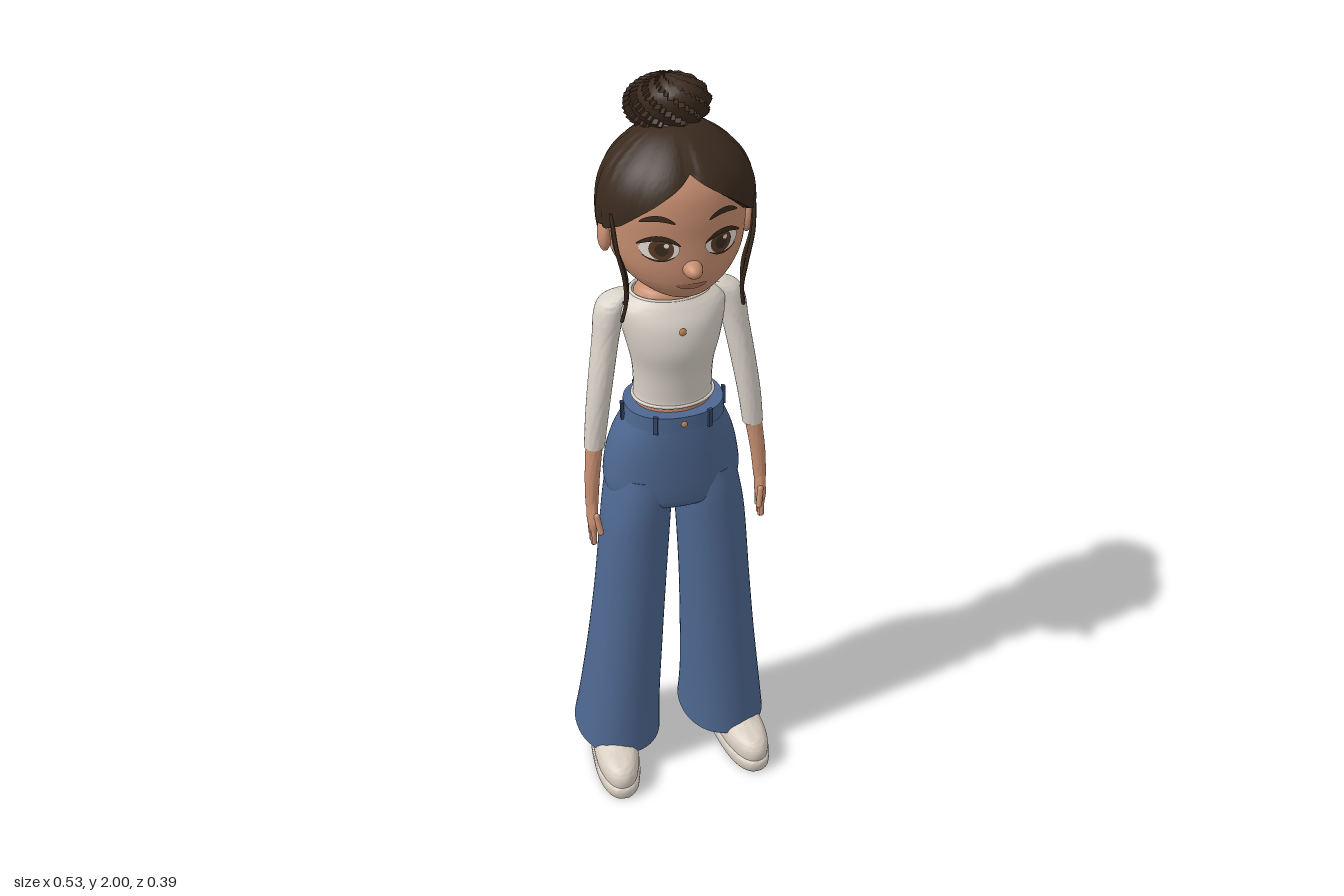
import * as THREE from 'three';
import { toCreasedNormals } from 'three/addons/utils/BufferGeometryUtils.js';

const mat = (name, color, side = THREE.FrontSide) => {
  const m = new THREE.MeshStandardMaterial({ color, side });
  m.name = name;
  return m;
};

// Smooth a table of rows by Catmull-Rom interpolation, n steps per row
function refine(rows, n = 5) {
  const out = [];
  for (let i = 0; i < rows.length - 1; i++) {
    const [p, q, r, s] = [rows[Math.max(i - 1, 0)], rows[i], rows[i + 1], rows[Math.min(i + 2, rows.length - 1)]];
    for (let k = 0; k < n; k++) {
      const t = k / n;
      out.push(q.map((v, c) => v + 0.5 * t * (r[c] - p[c] + t * (2 * p[c] - 5 * v + 4 * r[c] - s[c] + t * (3 * (v - r[c]) + s[c] - p[c])))));
    }
  }
  out.push(rows[rows.length - 1]);
  return out;
}

// Closed rings running upwards: point(i, angle) gives each corner
function ringSurface(count, segs, point, caps = [false, false], crease = 0.8) {
  const pos = [], idx = [];
  for (let i = 0; i < count; i++) for (let j = 0; j < segs; j++) pos.push(...point(i, (j / segs) * Math.PI * 2));
  for (let i = 0; i < count - 1; i++) for (let j = 0; j < segs; j++) {
    const a = i * segs + j, b = i * segs + ((j + 1) % segs);
    idx.push(a, b, b + segs, a, b + segs, a + segs);
  }
  caps.forEach((on, end) => {
    if (!on) return;
    const base = end ? (count - 1) * segs : 0, c = pos.length / 3, mid = [0, 0, 0];
    for (let j = 0; j < segs; j++) for (let k = 0; k < 3; k++) mid[k] += pos[(base + j) * 3 + k] / segs;
    pos.push(...mid);
    for (let j = 0; j < segs; j++) {
      const a = base + j, b = base + ((j + 1) % segs);
      idx.push(...(end ? [c, a, b] : [c, b, a]));
    }
  });
  const g = new THREE.BufferGeometry();
  g.setAttribute('position', new THREE.Float32BufferAttribute(pos, 3));
  g.setIndex(idx);
  return toCreasedNormals(g, crease);
}

// Rows are [y, centre x, half width, front z, back z]; power squares the section
function loft(rows, { segs = 40, power = 2, caps = [true, true], steps = 5 } = {}) {
  const r = refine(rows, steps), e = 2 / power;
  const f = (v) => Math.sign(v) * Math.abs(v) ** e;
  return ringSurface(r.length, segs, (i, a) => {
    const [y, cx, w, zf, zb] = r[i];
    return [cx + w * f(Math.sin(a)), y, (zf + zb) / 2 + ((zf - zb) / 2) * f(Math.cos(a))];
  }, caps);
}

// Look up a refined table at height y
function rowAt(rows, y) {
  let i = 0;
  while (i < rows.length - 2 && rows[i + 1][0] < y) i++;
  const t = THREE.MathUtils.clamp((y - rows[i][0]) / (rows[i + 1][0] - rows[i][0]), 0, 1);
  return rows[i].map((v, c) => v + (rows[i + 1][c] - v) * t);
}

const HEAD = [[1.515, 0, 0.02, 0.11, 0.05], [1.525, 0, 0.065, 0.134, 0], [1.55, 0, 0.105, 0.151, -0.05],
  [1.58, 0, 0.135, 0.16, -0.09], [1.62, 0, 0.156, 0.163, -0.115], [1.68, 0, 0.165, 0.161, -0.125],
  [1.74, 0, 0.165, 0.16, -0.125], [1.8, 0, 0.15, 0.146, -0.115], [1.86, 0, 0.105, 0.1, -0.08], [1.89, 0, 0.04, 0.04, -0.03]];
const HAIR = refine([[1.57, 0, 0.145, 0.16, -0.112], [1.6, 0, 0.163, 0.166, -0.125], [1.66, 0, 0.178, 0.172, -0.135],
  [1.72, 0, 0.182, 0.177, -0.137], [1.78, 0, 0.175, 0.174, -0.134], [1.83, 0, 0.152, 0.153, -0.122],
  [1.87, 0, 0.113, 0.115, -0.095], [1.9, 0, 0.065, 0.066, -0.05], [1.915, 0, 0.002, 0.012, 0.008]]);
// Hairline height by degrees from the front
const HAIRLINE = [[0, 1.84], [22, 1.795], [40, 1.755], [55, 1.72], [72, 1.695], [98, 1.685], [112, 1.605], [180, 1.587]];

export function createModel() {
  const model = new THREE.Group();
  const skin = mat('skin', 0xc78e70), hairM = mat('dark brown hair', 0x3a2a1e, THREE.DoubleSide);
  const knit = mat('cream knit', 0xd8d1c7, THREE.DoubleSide), denim = mat('blue denim', 0x4e6891, THREE.DoubleSide);
  const seam = mat('dark denim', 0x33466a), shoeM = mat('shoe cream', 0xd9cec2);
  const white = mat('eye white', 0xe6ddd5), iris = mat('brown iris', 0x5a3b28);
  const lip = mat('lip', 0xb0705c), gold = mat('copper', 0xc88a5a);
  const add = (name, geo, material, parent = model) => {
    const m = new THREE.Mesh(geo, material);
    m.name = name;
    parent.add(m);
    return m;
  };
  const ball = (name, material, [x, y, z], [sx, sy, sz], parent) => {
    const m = add(name, new THREE.SphereGeometry(1, 24, 16), material, parent);
    m.position.set(x, y, z);
    m.scale.set(sx, sy, sz);
    return m;
  };

  // Head and neck
  const headRows = refine(HEAD);
  add('head', loft(HEAD, { segs: 64 }), skin);
  add('neck', loft([[1.43, 0, 0.092, 0.045, -0.095], [1.465, 0, 0.088, 0.038, -0.09], [1.485, 0, 0.066, 0.03, -0.078],
    [1.52, 0, 0.061, 0.03, -0.072], [1.59, 0, 0.06, 0.03, -0.07]]), skin);
  ball('nose', skin, [0, 1.615, 0.16], [0.023, 0.021, 0.038]);

  // Thin plates wrapped on the face
  const plate = (name, material, cx, cy, w, h, lift, bend = 0) => {
    const g = new THREE.RingGeometry(0, 1, 32, 5), p = g.attributes.position;
    for (let i = 0; i < p.count; i++) {
      const u = p.getX(i), x = cx + u * w, y = cy + p.getY(i) * h + bend * u * u;
      const [, , rx, zf, zb] = rowAt(headRows, y);
      p.setXYZ(i, x, y, (zf + zb) / 2 + ((zf - zb) / 2) * Math.sqrt(Math.max(0, 1 - (x / rx) ** 2)) + lift);
    }
    g.computeVertexNormals();
    add(name, g, material);
  };
  plate('mouth', lip, 0, 1.567, 0.036, 0.008, 0.003, 0.004);
  for (const s of [1, -1]) {
    plate('eyeWhite', white, s * 0.073, 1.668, 0.043, 0.029, 0.003);
    plate('iris', iris, s * 0.07, 1.669, 0.027, 0.027, 0.005);
    plate('pupil', hairM, s * 0.07, 1.669, 0.015, 0.016, 0.0065);
    plate('eyeGlint', white, s * 0.07 + 0.01, 1.68, 0.006, 0.006, 0.008);
    plate('upperLash', hairM, s * 0.075, 1.698, 0.047, 0.007, 0.008, -0.02);
    plate('lowerLash', hairM, s * 0.075, 1.64, 0.036, 0.0025, 0.005, 0.012);
    plate('eyebrow', hairM, s * 0.077, 1.745, 0.038, 0.007, 0.004, -0.012);
    ball('ear', skin, [s * 0.17, 1.655, 0.022], [0.016, 0.042, 0.026]);
  }

  // Hair cap: grooved locks combed up to the crown, lower edge follows the hairline
  const N = 28;
  add('hairCap', ringSurface(N + 1, 176, (i, a) => {
    const deg = THREE.MathUtils.radToDeg(Math.min(a, Math.PI * 2 - a));
    const k = Math.max(1, HAIRLINE.findIndex((h) => h[0] >= deg));
    const [p, q] = [HAIRLINE[k - 1], HAIRLINE[k]];
    const jag = deg > 110 ? 0.01 * Math.abs(Math.sin(a * 11)) : 0;
    const edge = p[1] + (q[1] - p[1]) * ((deg - p[0]) / (q[0] - p[0])) + jag;
    const t = Math.max(0, i - 1) / (N - 1), y = edge + (1.915 - edge) * Math.sin((t * Math.PI) / 2);
    const [, , w, zf, zb] = rowAt(HAIR, y);
    const locks = deg < 70 ? 0.02 * Math.abs(Math.sin(a * 4 + t * 1.5 * Math.sign(Math.PI - a))) : 0.03 * Math.abs(Math.sin(a * 11));
    const parting = 0.06 * Math.exp(-((deg / 7) ** 2));
    const r = (1 + locks - parting) * (i === 0 ? 0.9 : 1);
    return [w * r * Math.sin(a), y, (zf + zb) / 2 + ((zf - zb) / 2) * r * Math.cos(a)];
  }, [false, true]), hairM);

  // Twisted bun
  const bun = add('bun', ringSurface(25, 132, (i, a) => {
    const v = (i / 24 - 0.5) * Math.PI * 0.998, saw = ((a * 11) / (Math.PI * 2) + (i / 24) * 5) % 1;
    const r = 0.088 + 0.017 * saw;
    return [r * Math.cos(v) * Math.sin(a), (0.064 + 0.005 * saw) * Math.sin(v), r * Math.cos(v) * Math.cos(a)];
  }, [true, true]), hairM);
  bun.position.set(0, 1.929, -0.05);
  bun.rotation.x = -0.2;

  // Loose face-framing strands
  for (const s of [1, -1]) for (const k of [0, 1]) {
    const pts = [[0.168, 1.74, 0.085], [0.162, 1.66, 0.105 - k * 0.012], [0.146 - k * 0.006, 1.58, 0.11 - k * 0.01],
      [0.14, 1.51, 0.098], [0.148 - k * 0.006, 1.455 + k * 0.05, 0.088]];
    const path = new THREE.CatmullRomCurve3(pts.map(([x, y, z]) => new THREE.Vector3(s * x, y, z)));
    add('looseStrand', new THREE.TubeGeometry(path, 24, 0.005, 6), hairM);
  }

  // Cropped sweater, midriff and pendant
  add('sweaterBody', loft([[1.18, 0, 0.101, 0.078, -0.083], [1.2, 0, 0.098, 0.077, -0.085], [1.27, 0, 0.101, 0.083, -0.092],
    [1.34, 0, 0.116, 0.095, -0.102], [1.4, 0, 0.13, 0.086, -0.112], [1.44, 0, 0.132, 0.064, -0.112],
    [1.463, 0, 0.1, 0.047, -0.1]], { caps: [false, false] }), knit);
  for (const [name, y, w, f, b] of [['sweaterHem', 1.182, 0.101, 0.079, -0.084], ['collar', 1.462, 0.097, 0.045, -0.098]]) {
    const ring = add(name, new THREE.TorusGeometry(1, 0.045, 8, 48), knit);
    ring.rotation.x = Math.PI / 2;
    ring.position.set(0, y, (f + b) / 2);
    ring.scale.set(w, (f - b) / 2, 0.1);
  }
  add('midriff', loft([[1.12, 0, 0.098, 0.077, -0.08], [1.2, 0, 0.094, 0.072, -0.08]]), skin);
  ball('pendant', gold, [0, 1.4, 0.087], [0.009, 0.01, 0.004]);

  // Arms and hands
  for (const s of [1, -1]) {
    const arm = new THREE.Group();
    arm.name = s > 0 ? 'leftArm' : 'rightArm';
    model.add(arm);
    add('sleeve', loft([[1.06, s * 0.205, 0.026, 0.037, -0.012], [1.15, s * 0.195, 0.029, 0.036, -0.022], [1.25, s * 0.18, 0.031, 0.03, -0.04],
      [1.35, s * 0.163, 0.033, 0.018, -0.056], [1.41, s * 0.152, 0.037, 0.012, -0.068], [1.445, s * 0.138, 0.036, 0.004, -0.07],
      [1.463, s * 0.118, 0.02, -0.012, -0.055]], { segs: 28 }), knit, arm);
    add('forearm', loft([[0.9, s * 0.221, 0.016, 0.052, 0.016], [0.98, s * 0.216, 0.019, 0.045, 0.008],
      [1.08, s * 0.204, 0.022, 0.033, -0.01]], { segs: 24 }), skin, arm);
    add('palm', loft([[0.825, s * 0.222, 0.009, 0.062, 0.012], [0.855, s * 0.222, 0.013, 0.066, 0.01],
      [0.885, s * 0.221, 0.014, 0.058, 0.013], [0.91, s * 0.221, 0.015, 0.051, 0.017]], { segs: 24 }), skin, arm);
    for (let f = 0; f < 4; f++) {
      const len = [0.045, 0.055, 0.052, 0.038][f];
      const finger = add('finger', new THREE.CapsuleGeometry(0.0068, len, 4, 10), skin, arm);
      finger.position.set(s * 0.222, 0.837 - len / 2, 0.055 - f * 0.0125);
    }
    const thumb = add('thumb', new THREE.CapsuleGeometry(0.008, 0.045, 4, 10), skin, arm);
    thumb.position.set(s * 0.212, 0.855, 0.066);
    thumb.rotation.set(-0.25, 0, s * -0.15);
  }

  // Wide-leg trousers
  add('trouserHips', loft([[0.868, 0, 0.09, 0.06, -0.08], [0.89, 0, 0.155, 0.092, -0.125], [0.93, 0, 0.174, 0.1, -0.138],
    [1, 0, 0.168, 0.102, -0.14], [1.07, 0, 0.15, 0.102, -0.125], [1.13, 0, 0.124, 0.099, -0.1]], { segs: 56, power: 2.25 }), denim);
  add('waistband', loft([[1.125, 0, 0.127, 0.102, -0.102], [1.165, 0, 0.124, 0.101, -0.101]], { segs: 56, power: 2.25, steps: 1 }), denim);
  for (const deg of [32, 90, 145, 180, 215, 270, 328]) {
    const a = THREE.MathUtils.degToRad(deg);
    const loop = add('beltLoop', new THREE.BoxGeometry(0.012, 0.05, 0.008), seam);
    loop.position.set(0.13 * Math.sin(a), 1.145, 0.105 * Math.cos(a));
    loop.rotation.y = a;
  }
  ball('trouserButton', gold, [0, 1.145, 0.102], [0.008, 0.008, 0.004]);
  for (const s of [1, -1]) {
    add(s > 0 ? 'leftTrouserLeg' : 'rightTrouserLeg', loft([[0.075, s * 0.15, 0.115, 0.102, -0.194], [0.2, s * 0.143, 0.106, 0.1, -0.165],
      [0.4, s * 0.128, 0.097, 0.1, -0.137], [0.6, s * 0.114, 0.091, 0.1, -0.116], [0.8, s * 0.1, 0.088, 0.1, -0.112],
      [0.9, s * 0.089, 0.084, 0.098, -0.128], [0.97, s * 0.08, 0.078, 0.088, -0.125]],
      { segs: 48, power: 2.15, caps: [false, true] }), denim);
    add('ankle', loft([[0.08, s * 0.16, 0.034, 0.02, -0.08], [0.35, s * 0.13, 0.045, 0.035, -0.075]], { segs: 20 }), skin);

    // Chunky shoes, toes turned slightly outwards
    const shoe = new THREE.Group();
    shoe.name = s > 0 ? 'leftShoe' : 'rightShoe';
    shoe.position.set(s * 0.177, 0, 0.034);
    shoe.rotation.y = s * 0.09;
    model.add(shoe);
    add('sole', loft([[0, 0, 0.057, 0.157, -0.157], [0.006, 0, 0.061, 0.163, -0.162], [0.034, 0, 0.062, 0.165, -0.163],
      [0.04, 0, 0.057, 0.158, -0.158]], { power: 2.4, steps: 2 }), shoeM, shoe);
    add('shoeUpper', loft([[0.036, 0, 0.058, 0.159, -0.158], [0.06, 0, 0.06, 0.16, -0.16], [0.08, 0, 0.056, 0.15, -0.158],
      [0.094, 0, 0.046, 0.125, -0.152], [0.104, 0, 0.036, 0.07, -0.148], [0.13, 0, 0.034, 0, -0.14]], { power: 2.3 }), shoeM, shoe);
  }
  return model;
}
